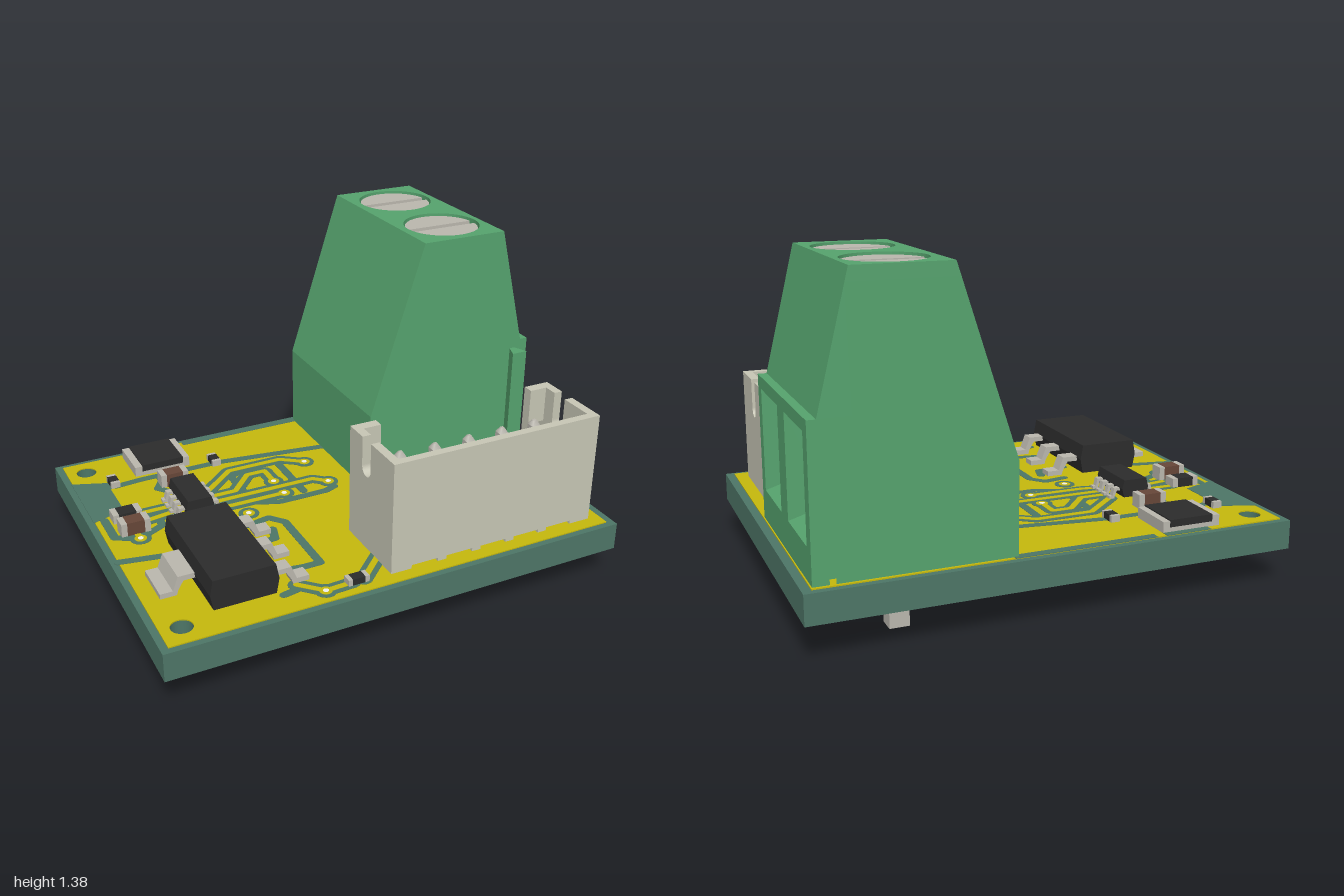
import * as THREE from 'three';

const COLORS = {
  mask: 0x4d7566, copper: 0xc4b70c, green: 0x55a26d, ivory: 0xc6c5b4,
  black: 0x2b2b2b, metal: 0xb9b6ad, brown: 0x664638, hole: 0xf0f0e8,
};
const MATS = {};
for (const k in COLORS) MATS[k] = new THREE.MeshStandardMaterial({ color: COLORS[k], side: THREE.DoubleSide });

function add(parent, name, geo, mat) {
  const m = new THREE.Mesh(geo, MATS[mat]);
  m.name = name;
  parent.add(m);
  return m;
}
// Box given by its limits on each axis
function box(parent, name, mat, x0, x1, y0, y1, z0, z1) {
  const m = add(parent, name, new THREE.BoxGeometry(x1 - x0, y1 - y0, z1 - z0), mat);
  m.position.set((x0 + x1) / 2, (y0 + y1) / 2, (z0 + z1) / 2);
  return m;
}
const poly = (pts) => new THREE.Shape(pts.map(([a, b]) => new THREE.Vector2(a, b)));
const rect = (a0, a1, b0, b1) => poly([[a0, b0], [a1, b0], [a1, b1], [a0, b1]]);
const disc = (x, z, r) => new THREE.Path().absarc(x, -z, r, 0, Math.PI * 2);
const extrude = (shape, depth) => new THREE.ExtrudeGeometry(shape, { depth, bevelEnabled: false, curveSegments: 20 });
// Shape in (x, -z), raised from y0
const extrudeY = (shape, y0, h) => extrude(shape, h).rotateX(-Math.PI / 2).translate(0, y0, 0);
// Shape in (-z, y), running from x0
const extrudeX = (shape, x0, w) => extrude(shape, w).rotateY(Math.PI / 2).translate(x0, 0, 0);

function group(parent, name) {
  const g = new THREE.Group();
  g.name = name;
  parent.add(g);
  return g;
}

// Flat strip along a polyline, with round joints
function strip(parent, name, mat, pts, width, y, h) {
  pts.forEach(([x, z], i) => {
    add(parent, name, new THREE.CylinderGeometry(width / 2, width / 2, h, 12), mat).position.set(x, y, z);
    if (!i) return;
    const [px, pz] = pts[i - 1];
    const m = add(parent, name, new THREE.BoxGeometry(Math.hypot(x - px, z - pz), h, width), mat);
    m.position.set((x + px) / 2, y, (z + pz) / 2);
    m.rotation.y = -Math.atan2(z - pz, x - px);
  });
}
function trace(parent, pts, top = true) {
  const s = top ? 1 : -1, y = top ? 0.28 : 0.15;
  strip(parent, 'traceGap', 'mask', pts, 0.07, y, 0.003);
  strip(parent, 'trace', 'copper', pts, 0.026, y + s * 0.001, 0.004);
}

function buildBoard(root) {
  const g = group(root, 'circuitBoard');
  const plate = (x0, x1, z, y0, h, mat, name) => {
    const s = rect(x0, x1, -z, z);
    for (const hz of [-0.64, 0.635]) s.holes.push(disc(-0.885, hz, 0.044));
    add(g, name, extrudeY(s, y0, h), mat);
  };
  plate(-1, 1, 0.757, 0.155, 0.12, 'mask', 'board');
  plate(-0.97, 0.965, 0.73, 0.275, 0.005, 'copper', 'topCopper');
  plate(-0.97, 0.965, 0.73, 0.15, 0.005, 'copper', 'bottomCopper');

  // Bare areas and wide gaps on the top
  const bare = (pts) => add(g, 'bareArea', extrudeY(poly(pts.map(([x, z]) => [x, -z])), 0.279, 0.0025), 'mask');
  bare([[-0.975, -0.56], [-0.79, -0.49], [-0.83, -0.44], [-0.83, -0.25], [-0.975, -0.2]]);
  bare([[-0.4, -0.735], [0.2, -0.735], [0.2, -0.7], [-0.4, -0.7]]);
  bare([[-0.64, -0.735], [-0.44, -0.735], [-0.44, -0.7], [-0.64, -0.7]]);
  const gaps = [
    [[-0.8, -0.46], [-0.68, -0.47], [-0.38, -0.47], [-0.31, -0.47], [0.19, -0.4]],
    [[-0.97, 0.13], [-0.76, 0.17]],
    [[-0.6, -0.47], [-0.6, -0.42], [-0.64, -0.36], [-0.6, -0.31]],
    [[-0.31, -0.14], [-0.31, -0.32], [-0.2, -0.36], [-0.05, -0.36]],
    [[-0.07, -0.33], [-0.07, -0.06]],
    [[-0.3, -0.06], [-0.2, -0.02], [0.02, -0.02], [0.07, -0.04]],
    [[-0.4, 0.1], [-0.3, 0.08], [-0.25, 0.14], [-0.25, 0.48], [-0.32, 0.48], [-0.45, 0.46]],
    [[-0.47, 0.25], [-0.34, 0.24], [-0.32, 0.17]], [[-0.47, 0.62], [-0.36, 0.6]],
    [[-0.93, -0.2], [-0.93, -0.05], [-0.84, 0], [-0.72, -0.06], [-0.72, -0.2]],
  ];
  for (const p of gaps) strip(g, 'gap', 'mask', p, 0.036, 0.28, 0.003);

  const topTraces = [
    [[-0.45, -0.24], [-0.3, -0.37], [-0.05, -0.37], [0.045, -0.3]],
    [[-0.45, -0.19], [-0.34, -0.19], [-0.24, -0.3], [-0.155, -0.3], [-0.155, -0.195]],
    [[-0.45, -0.14], [0.01, -0.14], [0.065, -0.09]],
    [[-0.45, -0.09], [-0.4, -0.08], [-0.155, -0.08]],
    [[-0.64, -0.035], [-0.64, -0.09]], [[-0.78, -0.12], [-0.65, -0.14]], [[-0.78, -0.19], [-0.65, -0.19]],
    [[-0.835, 0], [-0.84, -0.07]],
    [[0.255, 0.225], [0.35, 0.225]], [[0.41, 0.225], [0.52, 0.225]], [[0.58, 0.225], [0.615, 0.225]],
    [[0.255, 0.225], [0.31, 0.15], [0.43, 0.15], [0.57, 0.16], [0.615, 0.225]],
    [[0.465, 0.29], [0.465, 0.225]],
    [[-0.315, 0.665], [-0.2, 0.66]], [[-0.15, 0.66], [0.02, 0.5]], [[-0.315, 0.665], [-0.4, 0.58]],
  ];
  for (const p of topTraces) trace(g, p);

  const bottomTraces = [
    [[-0.315, 0.665], [-0.4, 0.62], [-0.72, 0.1], [-0.835, 0]],
    [[0.43, 0.15], [0.35, 0.05], [0.045, -0.3], [-0.14, -0.2], [-0.36, 0], [-0.64, -0.035]],
    [[0.465, 0.29], [0.3, 0.1], [0.065, -0.09], [-0.155, -0.08], [-0.36, 0.01]],
    [[0.255, 0.225], [0.27, 0.44]],
    [[0.615, 0.225], [0.59, 0.44]],
  ];
  for (const p of bottomTraces) trace(g, p, false);
  const square = (x, z, r) => strip(g, 'padGap', 'mask', [[-1, -1], [1, -1], [1, 1], [-1, 1], [-1, -1]].map(([a, b]) => [x + a * r, z + b * r]), 0.025, 0.15, 0.003);
  square(0.595, -0.118, 0.12);
  for (const x of [0.115, 0.435, 0.755]) square(x, 0.455, 0.065);
  const thermal = add(g, 'thermalRing', new THREE.RingGeometry(0.1, 0.125, 32).rotateX(Math.PI / 2), 'mask');
  thermal.position.set(0.595, 0.1485, -0.52);

  // Plated through holes, seen from both faces
  const vias = [[-0.835, 0], [-0.64, -0.035], [-0.36, 0.01], [-0.155, -0.195], [-0.155, -0.08], [0.045, -0.3],
    [0.065, -0.09], [0.255, 0.225], [0.43, 0.15], [0.615, 0.225], [0.465, 0.29], [-0.315, 0.665]];
  for (const [x, z] of vias) {
    [[0.045, 0.1332, 'mask'], [0.026, 0.1355, 'copper'], [0.012, 0.138, 'hole']].forEach(([r, h, mat]) => {
      add(g, 'via', new THREE.CylinderGeometry(r, r, h, 16), mat).position.set(x, 0.215, z);
    });
  }
}

function buildTerminal(root) {
  const g = group(root, 'screwTerminal');
  const body = poly([[0.182, 0.28], [0.8, 0.28], [0.8, 0.875], [0.925, 0.875], [0.8135, 1.33], [0.402, 1.33], [0.182, 0.65]]);
  add(g, 'terminalBody', extrude(body, 0.8).translate(0, 0, -0.72), 'green');

  // Sloped cap with two screw wells
  const capShape = rect(0.42, 0.8, -0.08, 0.72);
  const screwZ = [-0.525, -0.12];
  for (const z of screwZ) capShape.holes.push(disc(0.615, z, 0.162));
  const cap = extrudeY(capShape, 1.33, 0.055);
  const p = cap.attributes.position;
  for (let i = 0; i < p.count; i++) {
    if (p.getY(i) > 1.35) continue;
    if (p.getX(i) < 0.421) p.setX(i, 0.402);
    if (p.getX(i) > 0.799) p.setX(i, 0.8135);
  }
  cap.computeVertexNormals();
  add(g, 'terminalCap', cap, 'green');
  const a = Math.asin(0.018 / 0.155);
  for (const z of screwZ) {
    const base = add(g, 'screwBase', new THREE.CylinderGeometry(0.155, 0.155, 0.02, 40), 'metal');
    base.position.set(0.615, 1.335, z);
    for (const s of [0, Math.PI]) {
      const half = new THREE.Shape().absarc(0, 0, 0.155, a + s, Math.PI - a + s);
      add(g, 'screwHead', extrudeY(half, 1.34, 0.035).translate(0.615, 0, z), 'metal');
    }
  }

  // Front slab with funnel-shaped wire entries
  const slab = rect(-0.08, 0.665, 0.28, 0.875);
  for (const z of [-0.118, -0.518]) {
    const outer = [[-0.144, 0.41], [0.144, 0.41], [0.144, 0.825], [-0.144, 0.825]];
    const inner = [[-0.112, 0.47], [0.112, 0.47], [0.112, 0.69], [-0.112, 0.69]];
    slab.holes.push(poly(outer.map(([u, y]) => [u - z, y])));
    const v = [];
    for (let i = 0; i < 4; i++) {
      const j = (i + 1) % 4;
      const A = [0.96, outer[i][1], z - outer[i][0]], B = [0.96, outer[j][1], z - outer[j][0]];
      const C = [0.802, inner[j][1], z - inner[j][0]], D = [0.802, inner[i][1], z - inner[i][0]];
      v.push(...A, ...B, ...C, ...A, ...C, ...D);
    }
    const funnel = new THREE.BufferGeometry();
    funnel.setAttribute('position', new THREE.Float32BufferAttribute(v, 3));
    funnel.computeVertexNormals();
    add(g, 'wireFunnel', funnel, 'green');
    const frame = rect(-z - 0.112, -z + 0.112, 0.47, 0.69);
    frame.holes.push(rect(-z - 0.102, -z + 0.102, 0.48, 0.68));
    add(g, 'clampFrame', extrudeX(frame, 0.795, 0.015), 'metal');
  }
  add(g, 'terminalFront', extrudeX(slab, 0.8, 0.16), 'green');

  // Dovetail groove at the back and matching rail at the front
  const groove = poly([[0.8, 0.665], [0.96, 0.665], [0.96, 0.72], [0.897, 0.72], [0.922, 0.67], [0.848, 0.67], [0.873, 0.72], [0.8, 0.72]]);
  add(g, 'dovetailGroove', extrudeY(groove, 0.28, 0.56), 'green');
  box(g, 'grooveTop', 'green', 0.8, 0.96, 0.84, 0.875, -0.72, -0.665);
  add(g, 'dovetailRail', extrudeY(poly([[0.873, -0.08], [0.85, -0.14], [0.92, -0.14], [0.897, -0.08]]), 0.28, 0.56), 'green');
  for (const z of [-0.118, -0.518]) box(g, 'terminalPin', 'metal', 0.555, 0.635, 0, 0.28, z - 0.037, z + 0.037);
}

function buildConnector(root) {
  const g = group(root, 'pinHeader');
  box(g, 'headerFloor', 'ivory', -0.02, 0.9, 0.295, 0.36, 0.33, 0.66);
  // End walls with a rounded slot
  const end = poly([[-0.675, 0.28], [-0.315, 0.28], [-0.315, 0.765], [-0.42, 0.765], [-0.42, 0.64]]);
  end.absarc(-0.455, 0.64, 0.035, 0, -Math.PI, true);
  end.lineTo(-0.49, 0.765).lineTo(-0.675, 0.765);
  for (const x of [-0.037, 0.875]) add(g, 'headerEnd', extrudeX(end, x, 0.037), 'ivory');
  // Front wall with relief notches along its foot
  const front = [[-0.037, 0.28]];
  for (const x of [0.115, 0.275, 0.435, 0.595, 0.755]) front.push([x - 0.06, 0.28], [x - 0.06, 0.295], [x + 0.06, 0.295], [x + 0.06, 0.28]);
  front.push([0.912, 0.28], [0.912, 0.765], [-0.037, 0.765]);
  add(g, 'headerFront', extrude(poly(front), 0.035).translate(0, 0, 0.64), 'ivory');
  // Low back wall between two tall corners with windows
  box(g, 'headerBack', 'ivory', 0, 0.875, 0.28, 0.39, 0.315, 0.36);
  for (const x of [-0.037, 0.797]) {
    const corner = rect(x, x + 0.115, 0.28, 0.765);
    corner.holes.push(rect(x + 0.04, x + 0.085, 0.46, 0.61));
    add(g, 'headerCorner', extrude(corner, 0.045).translate(0, 0, 0.315), 'ivory');
  }
  // Square pins with pointed tips
  for (let i = 0; i < 5; i++) {
    const x = 0.115 + i * 0.16;
    box(g, 'headerPin', 'metal', x - 0.019, x + 0.019, 0.04, 0.66, 0.436, 0.474);
    for (const s of [1, -1]) {
      const tip = add(g, 'pinTip', new THREE.CylinderGeometry(0.01, 0.027, 0.022, 4).rotateY(Math.PI / 4), 'metal');
      tip.position.set(x, s > 0 ? 0.671 : 0.029, 0.455);
      if (s < 0) tip.rotation.x = Math.PI;
    }
  }
}

// Gull-wing lead: from x0 (at the body) outward in direction dir
function lead(g, x0, dir, len, z, w, h, t) {
  const y0 = 0.282, k = len * 0.35, m = len * 0.5;
  const pts = [[0, h], [k, h], [m, y0 + t], [m + t * 0.3, y0], [len, y0], [len, y0 + t], [m + t, y0 + t], [k + t, h + t], [0, h + t]];
  add(g, 'lead', extrude(poly(pts.map(([x, y]) => [x0 + dir * x, y])), w).translate(0, 0, z - w / 2), 'metal');
}
function chipBody(g, name, x0, x1, y0, y1, z0, z1, c) {
  const m = (y0 + y1) / 2;
  const s = poly([[x0 + c, y0], [x1 - c, y0], [x1, m], [x1 - c, y1], [x0 + c, y1], [x0, m]]);
  add(g, name, extrude(s, z1 - z0).translate(0, 0, z0), 'black');
}
// Chip part with metal ends; alongZ turns it
function passive(g, mat, x, z, l, w, h, alongZ) {
  const p = group(g, 'chipPart');
  box(p, 'chipCore', mat, -l * 0.3, l * 0.3, 0, h, -w / 2, w / 2);
  for (const s of [-1, 1]) box(p, 'chipEnd', 'metal', s * l * 0.4 - l * 0.1, s * l * 0.4 + l * 0.1, 0, h, -w / 2, w / 2);
  p.position.set(x, 0.28, z);
  if (alongZ) p.rotation.y = Math.PI / 2;
}

function buildParts(root) {
  const g = group(root, 'surfaceParts');
  chipBody(g, 'regulatorBody', -0.762, -0.483, 0.292, 0.42, 0.1, 0.61, 0.012);
  lead(g, -0.755, -1, 0.148, 0.355, 0.18, 0.34, 0.022);
  for (const z of [0.17, 0.355, 0.54]) lead(g, -0.49, 1, 0.15, z, 0.06, 0.34, 0.022);
  chipBody(g, 'smallChipBody', -0.615, -0.49, 0.29, 0.365, -0.28, -0.055, 0.01);
  for (let i = 0; i < 4; i++) {
    const z = -0.243 + i * 0.051;
    lead(g, -0.61, -1, 0.052, z, 0.026, 0.315, 0.012);
    lead(g, -0.495, 1, 0.052, z, 0.026, 0.315, 0.012);
  }
  box(g, 'resistorBody', 'metal', -0.695, -0.44, 0.28, 0.325, -0.705, -0.505);
  box(g, 'resistorTop', 'black', -0.662, -0.47, 0.3, 0.33, -0.706, -0.504);
  passive(g, 'brown', -0.56, -0.385, 0.125, 0.06, 0.06);
  passive(g, 'black', -0.84, -0.185, 0.125, 0.065, 0.04);
  passive(g, 'brown', -0.84, -0.07, 0.125, 0.065, 0.06);
  for (const [x, z] of [[-0.805, -0.485], [-0.33, -0.48]]) passive(g, 'black', x, z, 0.08, 0.04, 0.028, true);
  for (const [x, z] of [[0.375, 0.225], [0.555, 0.225], [-0.18, 0.66]]) passive(g, 'black', x, z, 0.09, 0.042, 0.028);
}

export function createModel() {
  const root = new THREE.Group();
  root.name = 'powerModule';
  buildBoard(root);
  buildTerminal(root);
  buildConnector(root);
  buildParts(root);
  return root;
}
